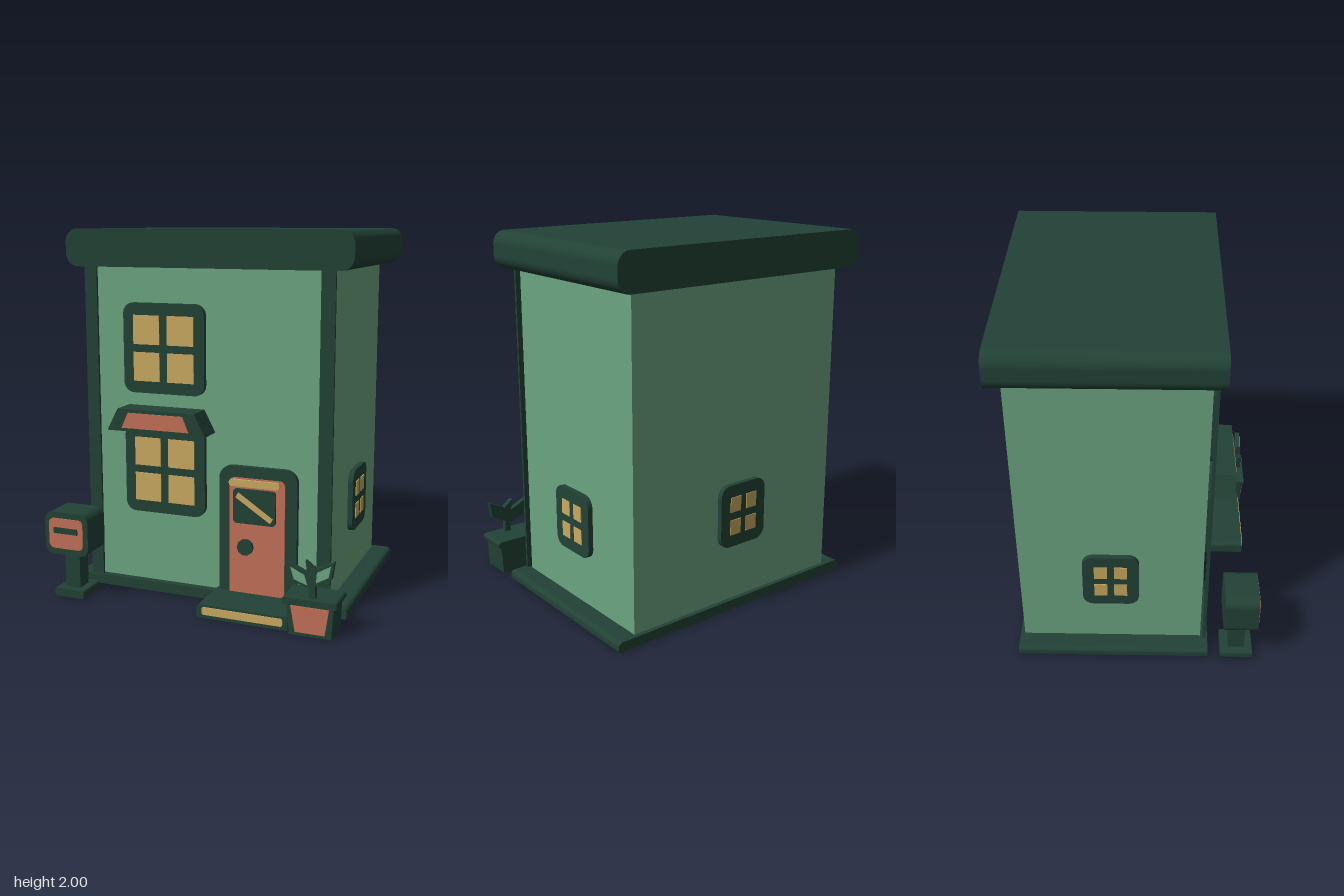
import * as THREE from 'three';

const mat = (name, color) => Object.assign(new THREE.MeshStandardMaterial({ color }), { name });

export function createModel() {
  const model = new THREE.Group();
  model.name = 'house';
  const wallGreen = mat('wall green', 0x6ba580);
  const darkGreen = mat('dark green', 0x224236);
  const terracotta = mat('terracotta', 0xc27058);
  const yellow = mat('warm yellow', 0xc9a95f);

  // Rectangle with rounded corners; rb is the radius of the bottom corners
  const roundRect = (x0, x1, y0, y1, r, rb = r) => {
    const s = new THREE.Shape();
    s.moveTo(x0 + rb, y0).lineTo(x1 - rb, y0);
    if (rb) s.absarc(x1 - rb, y0 + rb, rb, -Math.PI / 2, 0);
    s.lineTo(x1, y1 - r);
    s.absarc(x1 - r, y1 - r, r, 0, Math.PI / 2);
    s.lineTo(x0 + r, y1);
    s.absarc(x0 + r, y1 - r, r, Math.PI / 2, Math.PI);
    s.lineTo(x0, y0 + rb);
    if (rb) s.absarc(x0 + rb, y0 + rb, rb, Math.PI, Math.PI * 1.5);
    return s;
  };
  const poly = (...pts) => new THREE.Shape(pts.map(([x, y]) => new THREE.Vector2(x, y)));

  // Outline in the xy plane extruded from z0 to z1
  const slab = (name, material, shape, z0, z1, parent = model) => {
    const geo = new THREE.ExtrudeGeometry(shape, { depth: z1 - z0, bevelEnabled: false, curveSegments: 5 });
    geo.translate(0, 0, z0);
    const mesh = new THREE.Mesh(geo, material);
    mesh.name = name;
    parent.add(mesh);
    return mesh;
  };
  const box = (name, material, x0, x1, y0, y1, z0, z1, parent = model) => {
    const mesh = new THREE.Mesh(new THREE.BoxGeometry(x1 - x0, y1 - y0, z1 - z0), material);
    mesh.position.set((x0 + x1) / 2, (y0 + y1) / 2, (z0 + z1) / 2);
    mesh.name = name;
    parent.add(mesh);
    return mesh;
  };

  // Body, base, roof and corner posts
  box('walls', wallGreen, -0.677, 0.69, 0, 1.82, -0.63, 0.37);
  slab('base', darkGreen, roundRect(-0.79, 0.805, 0.002, 0.057, 0.025, 0.012), -0.655, 0.41);
  slab('roof', darkGreen, roundRect(-0.792, 0.81, 1.8, 2, 0.07), -0.695, 0.43);
  box('leftCornerPost', darkGreen, 0.635, 0.71, 0.05, 1.81, 0.386, 0.4);
  box('rightCornerPost', darkGreen, -0.697, -0.625, 0.05, 1.81, 0.386, 0.4);

  // Four-pane window, facing +z with its back at z = 0
  const addWindow = (name, w, h, paneW, paneH, gapX, gapY, pos, turn = 0) => {
    const g = new THREE.Group();
    g.name = name;
    slab('windowFrame', darkGreen, roundRect(-w / 2, w / 2, -h / 2, h / 2, 0.058), 0, 0.028, g);
    for (const sx of [-1, 1]) for (const sy of [-1, 1]) {
      const cx = sx * (paneW + gapX) / 2, cy = sy * (paneH + gapY) / 2;
      box('windowPane', yellow, cx - paneW / 2, cx + paneW / 2, cy - paneH / 2, cy + paneH / 2, 0.024, 0.032, g);
    }
    g.position.set(...pos);
    g.rotation.y = turn;
    model.add(g);
  };
  const big = [0.47, 0.485, 0.153, 0.157, 0.045, 0.042];
  const small = [0.305, 0.345, 0.071, 0.083, 0.037, 0.044];
  addWindow('upperWindow', ...big, [-0.225, 1.37, 0.387]);
  addWindow('lowerWindow', ...big, [-0.225, 0.705, 0.387]);
  addWindow('leftSideWindow', ...small, [0.697, 0.518, -0.132], Math.PI / 2);
  addWindow('rightSideWindow', ...small, [-0.684, 0.518, -0.132], -Math.PI / 2);
  addWindow('backWindow', ...small, [0.005, 0.56, -0.65], Math.PI);

  // Awning over the lower window
  slab('awning', darkGreen, poly([-0.507, 0.935], [0.062, 0.935], [0.0, 1.055], [-0.445, 1.055]), 0.39, 0.532);
  slab('awningPanel', terracotta, poly([-0.42, 0.953], [-0.03, 0.953], [-0.065, 1.037], [-0.382, 1.037]), 0.53, 0.537);

  // Door with its trim
  slab('doorFrame', darkGreen, roundRect(0.095, 0.53, 0.05, 0.77, 0.07, 0), 0.387, 0.415);
  slab('door', terracotta, roundRect(0.155, 0.465, 0.06, 0.71, 0.03, 0), 0.412, 0.421);
  slab('doorTrim', yellow, roundRect(0.17, 0.45, 0.675, 0.712, 0.016), 0.455, 0.47);
  slab('doorWindow', darkGreen, roundRect(0.192, 0.427, 0.475, 0.662, 0.02), 0.452, 0.465);
  slab('doorWindowBar', yellow, poly([0.207, 0.615], [0.4, 0.49], [0.415, 0.515], [0.222, 0.643]), 0.464, 0.469);
  const knob = new THREE.Shape().absarc(0.25, 0.335, 0.045, 0, Math.PI * 2);
  slab('doorKnob', darkGreen, knob, 0.426, 0.444);

  // Front step
  slab('step', darkGreen, roundRect(0.062, 0.563, 0, 0.073, 0.02, 0.01), 0.38, 0.657);
  slab('stepStripe', yellow, roundRect(0.093, 0.535, 0.02, 0.062, 0.012), 0.655, 0.662);

  // Letter box on a pole
  slab('letterBox', darkGreen, roundRect(-0.83, -0.567, 0.247, 0.485, 0.05), 0.488, 0.673);
  slab('letterBoxFace', terracotta, roundRect(-0.803, -0.596, 0.283, 0.452, 0.03), 0.671, 0.679);
  box('letterSlot', darkGreen, -0.77, -0.627, 0.37, 0.402, 0.678, 0.686);
  box('letterBoxPole', darkGreen, -0.745, -0.655, 0.03, 0.26, 0.525, 0.615);
  slab('letterBoxFoot', darkGreen, roundRect(-0.79, -0.61, 0, 0.045, 0.012), 0.48, 0.66);

  // Plant pot
  slab('pot', darkGreen, poly([0.578, 0], [0.798, 0], [0.808, 0.165], [0.56, 0.165]), 0.513, 0.682);
  slab('potPanel', terracotta, poly([0.61, 0.018], [0.765, 0.018], [0.785, 0.155], [0.585, 0.155]), 0.68, 0.688);
  slab('potRim', darkGreen, roundRect(0.54, 0.825, 0.16, 0.196, 0.014), 0.506, 0.692);

  // Plant: stem and outlined leaves
  const leaf = (name, outer, inner) => {
    slab(name, darkGreen, poly(...outer), 0.637, 0.667);
    if (inner) slab(name + 'Face', wallGreen, poly(...inner), 0.665, 0.672);
  };
  leaf('stem', [[0.672, 0.19], [0.71, 0.19], [0.7, 0.36], [0.682, 0.36]]);
  leaf('middleLeaf', [[0.672, 0.28], [0.705, 0.28], [0.705, 0.35], [0.655, 0.39]]);
  leaf('rightLeaf', [[0.585, 0.275], [0.685, 0.245], [0.665, 0.325], [0.562, 0.372]],
    [[0.597, 0.288], [0.667, 0.265], [0.652, 0.315], [0.578, 0.35]]);
  leaf('leftLeaf', [[0.695, 0.255], [0.79, 0.31], [0.803, 0.398], [0.702, 0.345]],
    [[0.712, 0.282], [0.776, 0.318], [0.787, 0.377], [0.716, 0.336]]);

  return model;
}
